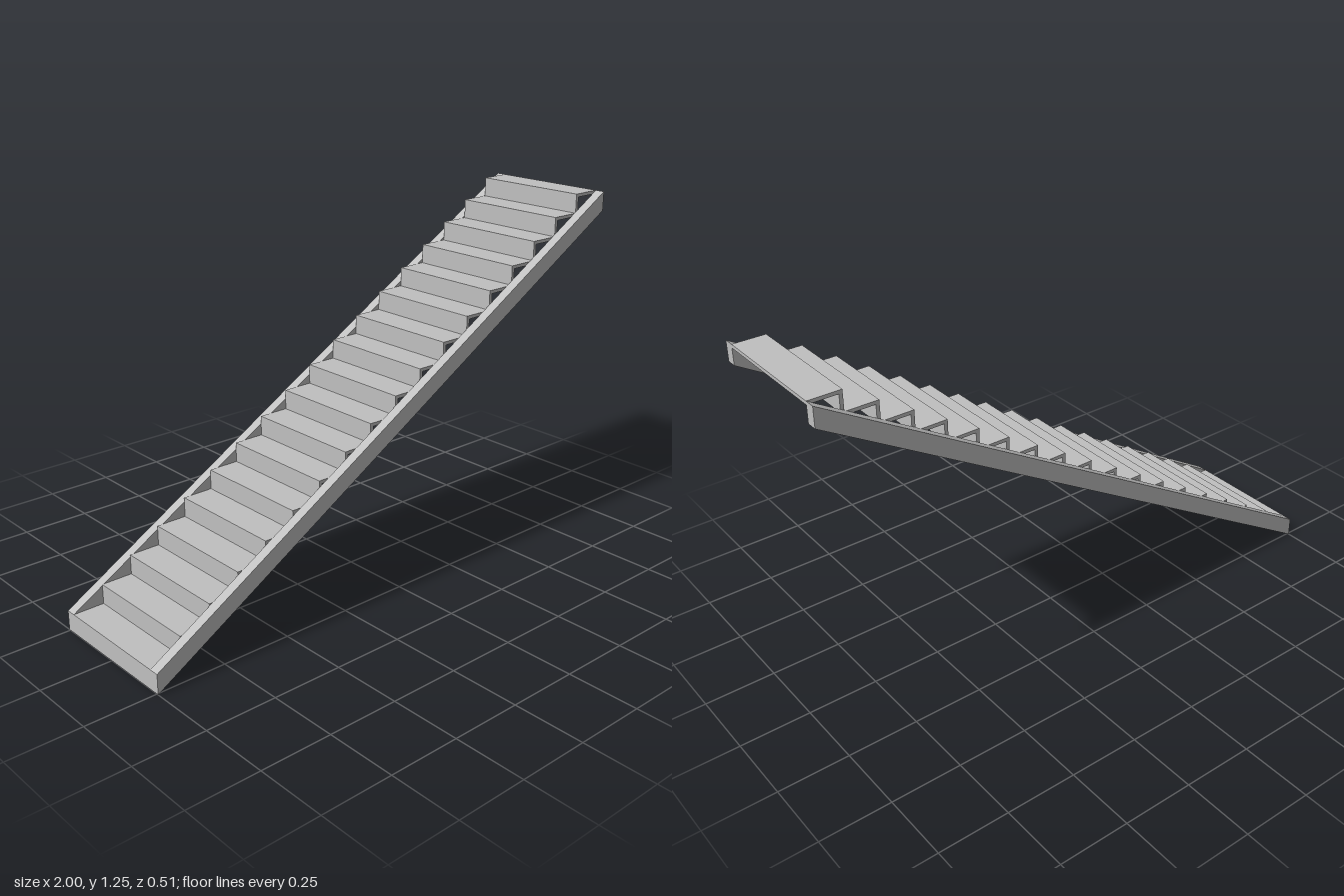
import * as THREE from 'three';

const STEPS = 18;
const RUN = 2 / STEPS;
const TOP = 1.25;
const RISE = TOP / STEPS;
const THICK = 0.012; // board thickness
const INNER = 0.22; // inner face of the stringers
const OUTER = 0.256; // outer face of the stringers

export function createModel() {
  const group = new THREE.Group();
  group.name = 'staircase';
  const grey = new THREE.MeshStandardMaterial({ color: 0xc0c0c0 });
  grey.name = 'light grey';

  const add = (name, geometry, x, y, z) => {
    const mesh = new THREE.Mesh(geometry, grey);
    mesh.name = name;
    mesh.position.set(x, y, z);
    group.add(mesh);
  };

  // Sloping side stringers with plumb-cut ends
  const side = new THREE.Shape([
    new THREE.Vector2(-1, 0),
    new THREE.Vector2(1, TOP - RISE),
    new THREE.Vector2(1, TOP),
    new THREE.Vector2(-1, RISE),
  ]);
  const stringer = new THREE.ExtrudeGeometry(side, { depth: OUTER - INNER, bevelEnabled: false });
  add('frontStringer', stringer, 0, 0, INNER);
  add('backStringer', stringer, 0, 0, -OUTER);

  // Thin boards: each riser stands on the tread below and carries its own tread
  const tread = new THREE.BoxGeometry(RUN, THICK, 2 * INNER);
  const riser = new THREE.BoxGeometry(THICK, RISE - THICK, 2 * INNER);
  for (let i = 0; i < STEPS; i++) {
    const x = -1 + i * RUN;
    add(`riser${i + 1}`, riser, x + THICK / 2, i * RISE + (RISE - THICK) / 2, 0);
    add(`tread${i + 1}`, tread, x + RUN / 2, (i + 1) * RISE - THICK / 2, 0);
  }
  return group;
}
